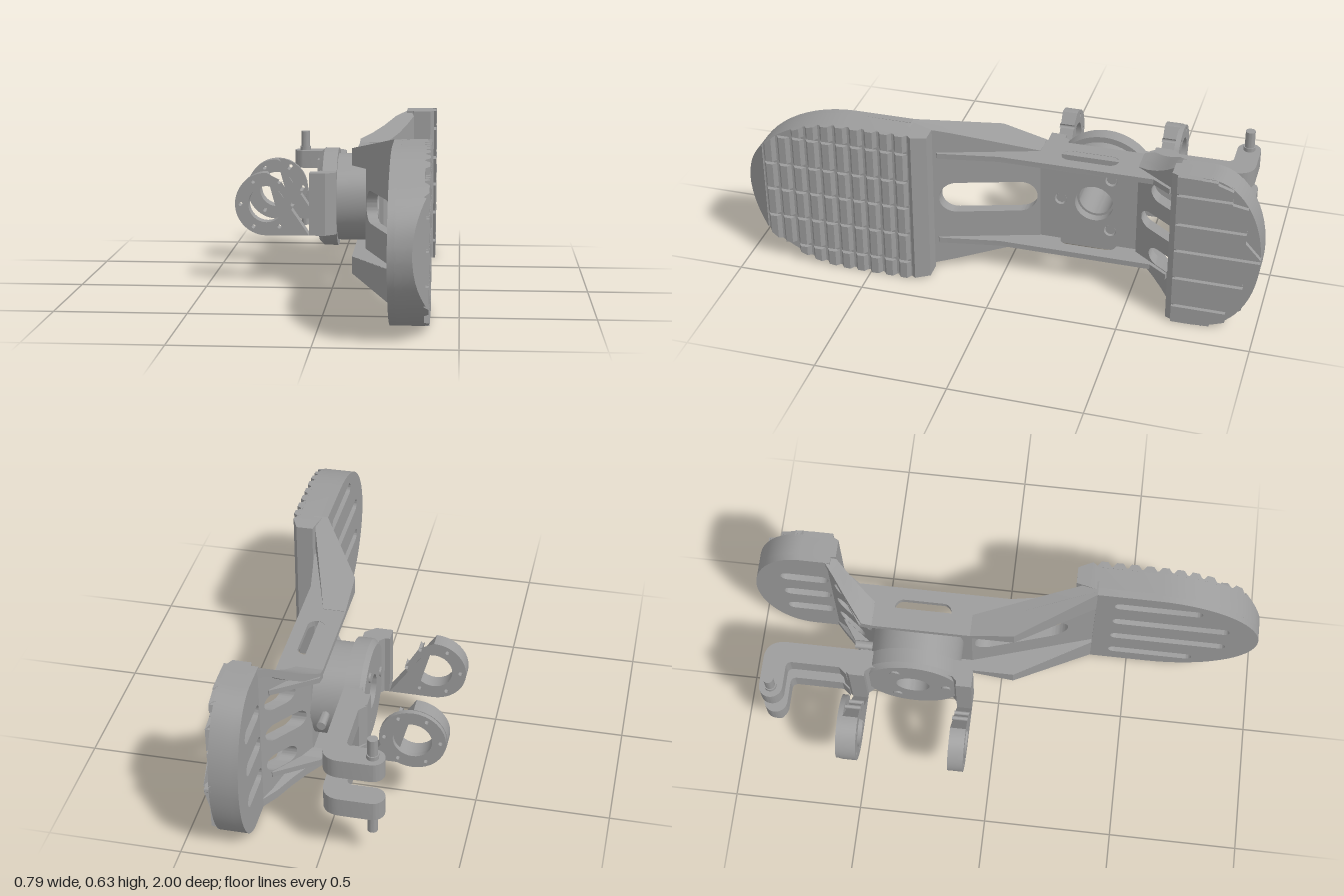
import * as THREE from 'three';
import { toCreasedNormals } from 'three/addons/utils/BufferGeometryUtils.js';

const MID = 0.3175;   // half height of the pads, everything is built around y = 0
const HUB_Z = -0.33;  // ankle hub axis

const metal = new THREE.MeshStandardMaterial({ color: 0x9c9c9c });
metal.name = 'grey metal';

export function createModel() {
  const model = new THREE.Group();
  model.name = 'mechanicalFoot';
  const foot = new THREE.Group();
  foot.name = 'foot';
  foot.position.y = MID;
  model.add(foot);

  const add = (name, geo) => {
    const mesh = new THREE.Mesh(toCreasedNormals(geo, 0.5), metal);
    mesh.name = name;
    foot.add(mesh);
    return mesh;
  };

  // ---- helpers ----
  const shapeOf = (pts) => new THREE.Shape(pts.map(([a, b]) => new THREE.Vector2(a, b)));
  const pill = (ax, ay, bx, by, r) => {
    const t = Math.atan2(by - ay, bx - ax), q = Math.PI / 2;
    const p = new THREE.Path();
    p.absarc(bx, by, r, t - q, t + q, false);
    p.absarc(ax, ay, r, t + q, t + 3 * q, false);
    p.closePath();
    return p;
  };
  const circle = (x, y, r) => new THREE.Path().absarc(x, y, r, 0, Math.PI * 2, false);
  const extrude = (shape, depth) =>
    new THREE.ExtrudeGeometry(shape, { depth, bevelEnabled: false, curveSegments: 16 });
  // plate across x from an outline in (-z, y); shift(z) slopes it
  const plateX = (shape, x, depth, shift = () => 0) => {
    const g = extrude(shape, depth).rotateY(Math.PI / 2);
    const p = g.attributes.position;
    for (let i = 0; i < p.count; i++) p.setX(i, p.getX(i) + x + shift(p.getZ(i)));
    return g;
  };
  // plate across y from an outline in (x, -z)
  const plateY = (shape, y, depth) => extrude(shape, depth).rotateX(-Math.PI / 2).translate(0, y, 0);
  const mirrored = (pts) => [...pts, ...pts.slice().reverse().map(([a, b]) => [a, -b])];
  const zSlot = (z0, z1, y, r) => pill(-z1 + r, y, -z0 - r, y, r);
  // closed solid through equal rings of points
  const loft = (rings) => {
    const n = rings[0].length, pos = rings.flat(2), idx = [], last = (rings.length - 1) * n;
    for (let i = 0; i < rings.length - 1; i++)
      for (let j = 0; j < n; j++) {
        const a = i * n + j, b = i * n + (j + 1) % n;
        idx.push(a, b, b + n, a, b + n, a + n);
      }
    for (let j = 1; j < n - 1; j++) idx.push(0, j + 1, j, last, last + j, last + j + 1);
    const v = (i) => new THREE.Vector3(...pos.slice(i * 3, i * 3 + 3));
    let volume = 0;
    for (let i = 0; i < idx.length; i += 3) volume += v(idx[i]).dot(v(idx[i + 1]).cross(v(idx[i + 2])));
    if (volume < 0) idx.reverse();
    const g = new THREE.BufferGeometry();
    g.setAttribute('position', new THREE.Float32BufferAttribute(pos, 3));
    g.setIndex(idx);
    return g;
  };
  const ring = (z, x0, x1, y0, y1) => [[x0, y0, z], [x1, y0, z], [x1, y1, z], [x0, y1, z]];

  // ---- outlines: half width at each z ----
  const round = (u) => MID * Math.sqrt(Math.max(0.002, 1 - u * u));
  const toeHalf = (z) => z > 0.58 ? round((z - 0.58) / 0.42) : MID - Math.max(0, 0.35 - z) * 0.1;
  const heelHalf = (z) => z < -0.8 ? round((-z - 0.8) / 0.2) : MID;
  const neckHalf = (z) => z > -0.13 ? 0.2 + 0.1175 * Math.min(1, (z + 0.13) / 0.46)
    : 0.2 + 0.1175 * Math.pow(Math.min(1, Math.max(0, (-z - 0.48) / 0.2)), 1.8);
  const arcZ = (from, to, n) =>
    Array.from({ length: n + 1 }, (_, i) => from + (to - from) * Math.sin(i / n * Math.PI / 2));
  const outline = (zs, half) => shapeOf(mirrored(zs.map((z) => [-z, half(z)])));

  // ---- treads: rows of ridges cut by lengthwise grooves ----
  const grooves = [-0.36, -0.242, -0.118, 0.003, 0.118, 0.242, 0.36];
  const treads = (name, z0, z1, count, half) => {
    const step = (z1 - z0) / count;
    for (let i = 0; i < count; i++) {
      const a = z0 + i * step + 0.004, b = z0 + (i + 1) * step - 0.004;
      for (let k = 0; k < grooves.length - 1; k++) {
        const lo = grooves[k] + 0.006, hi = grooves[k + 1] - 0.006;
        const limit = Math.min(half(a), half(b));
        if (lo >= limit || hi <= -limit) continue;
        const at = (z, x) => ring(z, 0.37, x, Math.max(lo, -half(z)), Math.min(hi, half(z)));
        add(name, loft([at(a, 0.378), at(a + 0.012, 0.395), at(b - 0.012, 0.395), at(b, 0.378)]));
      }
    }
  };

  // ---- toe pad ----
  const toeZ = arcZ(0.58, 1, 16);
  const toeTop = (z) => z > 0.92 ? 0.385 - (z - 0.92) * 0.56 : 0.378;
  add('toePad', loft([
    ring(0.265, 0.3, 0.365, -toeHalf(0.265), toeHalf(0.265)),
    ring(0.32, 0.285, 0.39, -toeHalf(0.32), toeHalf(0.32)),
    ring(0.335, 0.28, 0.378, -toeHalf(0.335), toeHalf(0.335)),
    ...toeZ.concat(0.92, 0.9201).sort((a, b) => a - b)
      .map((z) => ring(z, 0.28, toeTop(z), -toeHalf(z), toeHalf(z))),
  ]));
  const toeBack = outline([0.35, ...toeZ], toeHalf);
  for (const [y, end] of [[-0.225, 0.76], [-0.075, 0.88], [0.075, 0.88], [0.225, 0.76]])
    toeBack.holes.push(zSlot(0.42, end, y, 0.025));
  add('toeBackPlate', plateX(toeBack, 0.255, 0.03));
  treads('toeTread', 0.335, 0.92, 10, toeHalf);

  // ---- heel pad ----
  const heelZ = arcZ(-0.8, -1, 14);
  add('heelPad', loft([
    ring(-0.66, 0.3, 0.37, -MID, MID), ring(-0.69, 0.295, 0.385, -MID, MID),
    ring(-0.7, 0.295, 0.378, -MID, MID),
    ...heelZ.map((z) => ring(z, 0.295, 0.378, -heelHalf(z), heelHalf(z))),
  ]));
  const heelBack = outline([-0.68, ...heelZ], heelHalf);
  for (const y of [-0.145, 0, 0.145]) heelBack.holes.push(zSlot(-0.89, -0.7, y, 0.03));
  add('heelBackPlate', plateX(heelBack, 0.27, 0.03));
  treads('heelTread', -0.7, -0.985, 5, heelHalf);

  // ---- bridge: floor, toe slope, heel slope ----
  const boltSpots = [0, 1, 2].map((i) => {
    const t = i * Math.PI * 2 / 3;
    return [HUB_Z + 0.13 * Math.cos(t), 0.13 * Math.sin(t)];
  });
  const floor = outline([-0.5, -0.12], () => 0.2);
  floor.holes.push(circle(-HUB_Z, 0, 0.075), ...boltSpots.map(([z, y]) => circle(-z, y, 0.024)));
  add('bridgeFloor', plateX(floor, 0.125, 0.04));

  const toeSlope = outline([-0.12, 0.05, 0.2, 0.35], neckHalf);
  toeSlope.holes.push(zSlot(-0.11, 0.25, 0, 0.065));
  add('toeSlope', plateX(toeSlope, 0.125, 0.042, (z) => (z + 0.12) * 0.31));

  const heelZs = [-0.5, -0.54, -0.58, -0.62, -0.66, -0.7];
  const heelSlope = outline(heelZs, neckHalf);
  heelSlope.holes.push(zSlot(-0.675, -0.52, 0, 0.036));
  for (const y of [-0.14, 0.14]) heelSlope.holes.push(zSlot(-0.675, -0.56, y, 0.036));
  add('heelSlope', plateX(heelSlope, 0.125, 0.055, (z) => (-z - 0.5) * 0.75));

  // ---- side rails and flared gussets, both sides ----
  const rail = shapeOf([[0.08, 0.55], [0.08, -0.05], [0.23, -0.3], [0.29, -0.25], [0.25, -0.02],
    [0.25, 0.57], [0.3, 0.64], [0.24, 0.66]]);
  rail.holes.push(pill(0.168, 0.235, 0.168, 0.388, 0.033));
  for (const s of [-1, 1]) {
    add('sideRail', plateY(rail, s * 0.19 - 0.011, 0.022));
    add('toeGusset', loft([[-0.12, 0.08, 0.165], [0.05, 0.08, 0.218], [0.35, 0.256, 0.31]]
      .map(([z, a, b]) => ring(z, a, b, s * 0.18, s * neckHalf(z)))));
    add('heelGusset', loft(heelZs.map((z) => ring(z, 0.08 + Math.max(0, -z - 0.54) * 1.2,
      0.18 + (-z - 0.5) * 0.75, s * (neckHalf(z) - 0.035), s * neckHalf(z)))));
  }

  // ---- ankle hub and flange ----
  const turned = (name, pts) => add(name, new THREE.LatheGeometry(
    pts.map(([r, h]) => new THREE.Vector2(r, h)), 48).rotateZ(-Math.PI / 2).translate(0, 0, HUB_Z));
  turned('ankleHub', [[0.066, 0], [0.177, 0], [0.177, 0.13], [0.066, 0.13], [0.066, 0]]);
  turned('ankleFlange', [[0.066, -0.07], [0.182, -0.07], [0.2, -0.052], [0.2, 0.005], [0.066, 0.005], [0.066, -0.07]]);
  for (const [z, y] of boltSpots)
    add('hubBolt', new THREE.CylinderGeometry(0.019, 0.019, 0.235, 16).rotateZ(Math.PI / 2).translate(0.04, y, z));
  add('lockPin', new THREE.CylinderGeometry(0.017, 0.017, 0.12, 16).rotateX(Math.PI / 2).translate(0.073, 0, -0.515));

  // ---- clevis: two corner blocks, two eye plates, one boss ring ----
  add('clevisFrontCorner', plateY(shapeOf([[0.005, 0.19], [0.005, 0.13], [-0.035, 0.095], [-0.1, 0.095],
    [-0.1, 0.155], [-0.08, 0.155], [-0.062, 0.175], [-0.062, 0.19]]), -0.125, 0.25));
  add('clevisBackCorner', plateY(shapeOf([[0.005, 0.47], [-0.062, 0.47], [-0.062, 0.49], [-0.08, 0.51],
    [-0.1, 0.51], [-0.1, 0.57], [-0.075, 0.6], [0.005, 0.6]]), -0.125, 0.25));
  const eyeHoles = () => [circle(-0.27, 0, 0.073), ...[0, 1, 2, 3, 4, 5].map((i) =>
    circle(-0.27 + 0.104 * Math.cos(i * Math.PI / 3), 0.104 * Math.sin(i * Math.PI / 3), 0.008))];
  const eye = new THREE.Shape();
  eye.moveTo(-0.1, 0.125);
  eye.absarc(-0.27, 0, 0.126, Math.PI / 2, Math.PI * 1.5, false);
  eye.lineTo(-0.1, -0.125);
  eye.closePath();
  eye.holes.push(...eyeHoles());
  for (const z of [-0.155, -0.57]) add('clevisEye', extrude(eye, 0.06).translate(0, 0, z));
  const boss = new THREE.Shape().absarc(-0.27, 0, 0.124, 0, Math.PI * 2, false);
  boss.holes.push(...eyeHoles());
  add('eyeBoss', extrude(boss, 0.02).translate(0, 0, -0.588));

  // ---- rear hooked arms with pins ----
  const hook = new THREE.Shape();
  hook.moveTo(0.005, 0.58);
  hook.lineTo(0.005, 0.82);
  hook.quadraticCurveTo(0.005, 0.905, -0.07, 0.905);
  hook.absarc(-0.18, 0.86, 0.045, Math.PI / 2, Math.PI * 1.5, false);
  hook.lineTo(-0.1, 0.815);
  hook.quadraticCurveTo(-0.075, 0.815, -0.075, 0.79);
  hook.lineTo(-0.075, 0.61);
  hook.lineTo(-0.1, 0.58);
  hook.closePath();
  for (const s of [-1, 1]) {
    add('hookArm', plateY(hook, s * 0.0875 - 0.0375, 0.075));
    add('pinCollar', new THREE.CylinderGeometry(0.023, 0.023, 0.016, 20).translate(-0.18, s * 0.133, -0.86));
    add('pin', new THREE.CylinderGeometry(0.019, 0.019, 0.085, 20).translate(-0.18, s * 0.165, -0.86));
  }
  return model;
}
